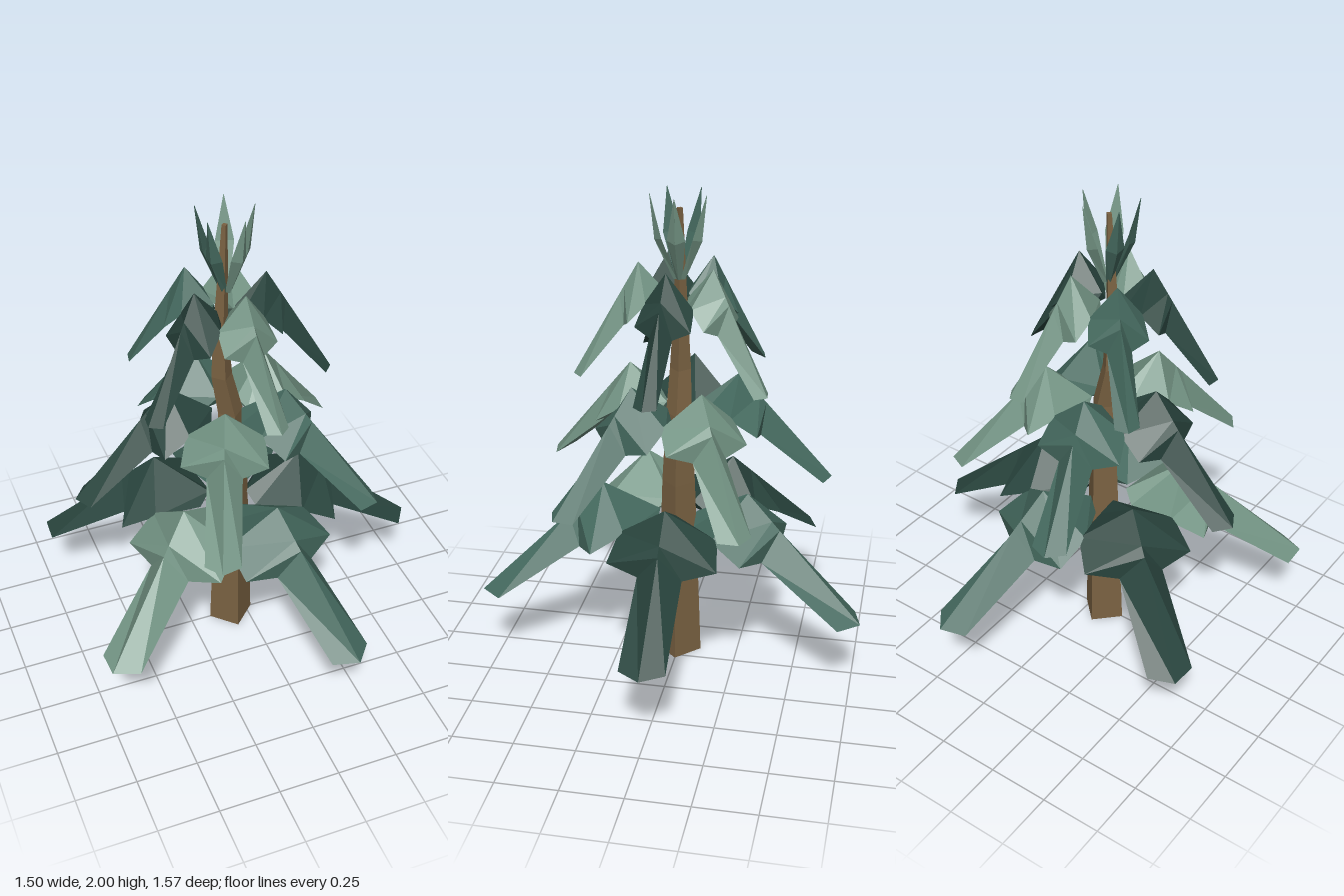
import * as THREE from 'three';

const flat = (name, color) => {
  const m = new THREE.MeshStandardMaterial({ color, flatShading: true });
  m.name = name;
  return m;
};

// Lofts a closed three-sided section (left flank, ridge, right flank) through stations.
// Station: [ridge radius, ridge height, flank radius, flank height, half width]
function loft(stations) {
  const pos = [], idx = [];
  for (const [rr, ry, fr, fy, w] of stations) pos.push(fr, fy, -w, rr, ry, 0, fr, fy, w);
  const n = stations.length;
  for (let s = 0; s < n - 1; s++) {
    for (let i = 0; i < 3; i++) {
      const a = s * 3 + i, b = s * 3 + (i + 1) % 3;
      idx.push(a, b, a + 3, b, b + 3, a + 3);
    }
  }
  const e = (n - 1) * 3;
  idx.push(2, 1, 0, e, e + 1, e + 2);
  const g = new THREE.BufferGeometry();
  g.setAttribute('position', new THREE.Float32BufferAttribute(pos, 3));
  g.setIndex(idx);
  g.computeVertexNormals();
  return g;
}

export function createModel() {
  const tree = new THREE.Group();
  tree.name = 'pineTree';
  const bark = flat('bark brown', 0x7a6242);
  const L = flat('light green', 0x739484);
  const M = flat('mid green', 0x44695e);
  const D = flat('dark green', 0x2a463f);

  // Trunk: four-sided, tapering and slightly bent; rows are [height, x, radius]
  const rows = [
    [0, -0.07, 0.095], [0.8, -0.06, 0.068], [1.1, -0.063, 0.052],
    [1.28, -0.098, 0.043], [1.5, -0.1, 0.03], [1.94, -0.08, 0.012],
  ];
  const trunkGeo = new THREE.CylinderGeometry(1, 1, 1, 4, rows.length - 1);
  const p = trunkGeo.attributes.position;
  for (let i = 0; i < p.count; i++) {
    const [h, x, r] = rows[Math.round((p.getY(i) + 0.5) * (rows.length - 1))];
    p.setXYZ(i, x + p.getX(i) * r, h, p.getZ(i) * r);
  }
  trunkGeo.computeVertexNormals();
  const trunk = new THREE.Mesh(trunkGeo, bark);
  trunk.name = 'trunk';
  tree.add(trunk);

  // Drooping bough: rises to a peak, flares into two barbs, then a long ridged strip
  const bough = loft([
    [0.08, 0.33, 0.10, 0.29, 0.06],
    [0.315, 0.465, 0.25, 0.32, 0.2],
    [0.425, 0.365, 0.39, 0.25, 0.222],
    [0.46, 0.333, 0.425, 0.22, 0.09],
    [0.825, 0, 0.765, 0, 0.092],
  ]);
  // Upright crown leaf, listed from tip to base
  const leaf = loft([
    [0.117, 0.34, 0.115, 0.34, 0.001],
    [0.098, 0.16, 0.075, 0.17, 0.036],
    [0.025, 0, 0.01, 0, 0.012],
  ]);

  const tiers = [
    { name: 'lowerBough', geo: bough, x: -0.078, y: 0.34, s: 1, turn: 0, colors: [D, M, L, D, M] },
    { name: 'middleBough', geo: bough, x: -0.078, y: 0.8, s: 0.765, turn: 40.5, colors: [M, L, D, M, L] },
    { name: 'upperBough', geo: bough, x: -0.085, y: 1.26, s: 0.515, turn: 9, colors: [D, L, D, M, L] },
    { name: 'crownLeaf', geo: leaf, x: -0.077, y: 1.66, s: 1, turn: 0, colors: [L, L, M, M, L] },
  ];
  for (const t of tiers) {
    t.colors.forEach((mat, i) => {
      const mesh = new THREE.Mesh(t.geo, mat);
      mesh.name = t.name + (i + 1);
      mesh.position.set(t.x, t.y, 0);
      mesh.scale.set(t.s, 1, t.s);
      mesh.rotation.y = -THREE.MathUtils.degToRad(t.turn + i * 72);
      tree.add(mesh);
    });
  }
  return tree;
}
